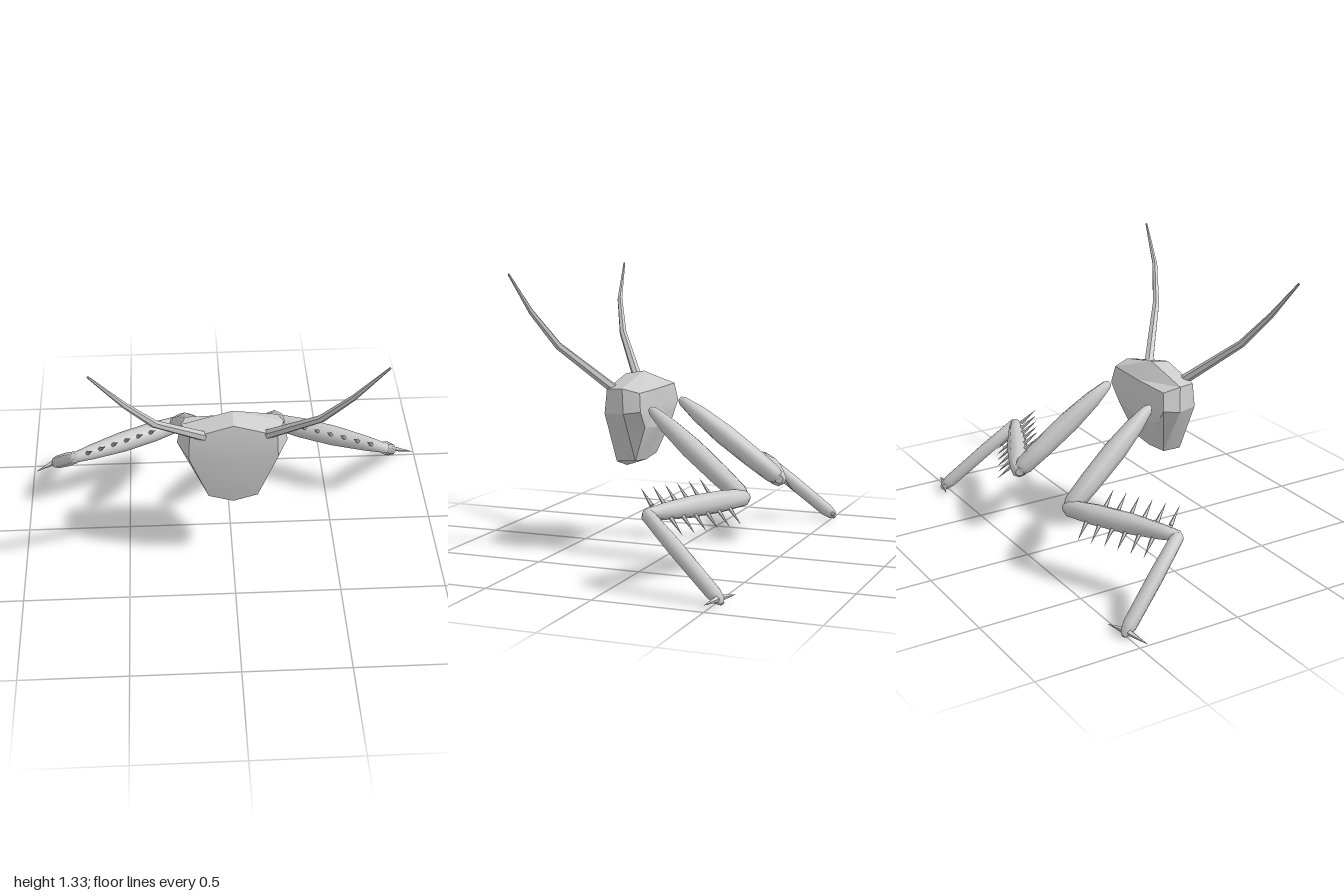
import * as THREE from 'three';
import { toCreasedNormals } from 'three/addons/utils/BufferGeometryUtils.js';

const V = (x, y, z) => new THREE.Vector3(x, y, z);
const material = new THREE.MeshStandardMaterial({ color: 0xcccccc });

// Joins a row of equally sized rings into a closed skin; both ends shrink to a point.
function skin(rings, crease) {
  const pos = [];
  const tri = (a, b, c) => {
    if (a.equals(b) || b.equals(c) || c.equals(a)) return;
    pos.push(...a.toArray(), ...b.toArray(), ...c.toArray());
  };
  for (let i = 0; i < rings.length - 1; i++) {
    const r = rings[i], s = rings[i + 1], n = r.length;
    for (let j = 0; j < n; j++) {
      const k = (j + 1) % n;
      tri(r[j], r[k], s[k]);
      tri(r[j], s[k], s[j]);
    }
  }
  const geo = new THREE.BufferGeometry();
  geo.setAttribute('position', new THREE.Float32BufferAttribute(pos, 3));
  geo.computeVertexNormals();
  return toCreasedNormals(geo, crease);
}

// Tapered sweep along points, with one radius per point.
function sweep(points, radii, sides, crease = 0.6) {
  const d = points.at(-1).clone().sub(points[0]).normalize();
  const u = V(0, 1, 0).addScaledVector(d, -d.y).normalize();
  const v = d.clone().cross(u);
  const ring = (p, r) => Array.from({ length: sides }, (_, j) => {
    const a = (j / sides) * Math.PI * 2;
    return p.clone().addScaledVector(u, r * Math.cos(a)).addScaledVector(v, r * Math.sin(a));
  });
  const rings = points.map((p, i) => ring(p, radii[i]));
  return skin([ring(points[0], 0), ...rings, ring(points.at(-1), 0)], crease);
}

// Straight limb with a profile of [fraction along, radius].
function limb(a, b, profile) {
  return sweep(profile.map(([t]) => a.clone().lerp(b, t)), profile.map(p => p[1]), 8, 0.85);
}

function add(parent, name, geo) {
  const mesh = new THREE.Mesh(geo, material);
  mesh.name = name;
  parent.add(mesh);
}

function spine(parent, name, from, to, r) {
  add(parent, name, sweep([from, to], [r, 0], 5));
}

// Half outlines of the head, top to bottom, from back to front.
function headGeometry() {
  const halves = [
    [[0, 0.785, 0.108], [0.215, 0.785, 0.115], [0.235, 0.7, 0.103], [0.17, 0.62, 0.108], [0, 0.6, 0.108]],
    [[0, 0.865, 0.185], [0.235, 0.805, 0.195], [0.257, 0.69, 0.18], [0.13, 0.45, 0.175], [0, 0.437, 0.175]],
    [[0, 0.848, 0.278], [0.2, 0.795, 0.288], [0.205, 0.68, 0.298], [0.115, 0.44, 0.277], [0, 0.403, 0.275]],
  ];
  const rings = halves.map(h => [
    ...h.map(([x, y, z]) => V(-x, y, z)),
    ...h.slice(1, -1).reverse().map(p => V(...p)),
  ].map(p => (p.x === 0 ? V(0, p.y, p.z) : p)));
  const point = p => Array(8).fill(p);
  return skin([point(V(0, 0.7, 0.105)), ...rings, point(V(0, 0.68, 0.313))], 0.35);
}

function buildLeg(name, s, hip, knee, ankle, foot, claws) {
  const leg = new THREE.Group();
  leg.name = name;
  add(leg, 'upperLeg', limb(hip, knee,
    [[0, 0.012], [0.03, 0.024], [0.2, 0.042], [0.45, 0.053], [0.75, 0.051], [0.95, 0.045], [1.01, 0.03], [1.03, 0.012]]));
  add(leg, 'middleLeg', limb(knee, ankle,
    [[-0.05, 0.02], [0, 0.04], [0.25, 0.05], [0.55, 0.05], [0.85, 0.037], [1, 0.026], [1.03, 0.012]]));
  add(leg, 'lowerLeg', limb(ankle, foot,
    [[-0.03, 0.014], [0, 0.03], [0.4, 0.035], [0.9, 0.033], [0.98, 0.024], [1.02, 0.01]]));

  // Two opposing rows of spines along the middle leg
  const out = V(-0.045 * s, 0.093, 0.093);
  for (let i = 0; i < 6; i++) {
    for (const side of [1, -1]) {
      const base = knee.clone().lerp(ankle, (side > 0 ? 0.3 : 0.2) + i * 0.121);
      const at = f => base.clone().addScaledVector(out, f * side);
      spine(leg, 'legSpine', at(0.28), at(1), 0.011);
    }
  }
  // Pair of claws at the foot
  const root = foot.clone().add(V(0, 0.015, 0.01));
  claws.forEach(tip => spine(leg, 'claw', root, tip, 0.016));
  return leg;
}

export function createModel() {
  const model = new THREE.Group();
  model.name = 'insectHeadAndLegs';
  add(model, 'head', headGeometry());

  // Curved, tapering antennae
  for (const s of [1, -1]) {
    const path = [[0.14, 0.785, 0.265], [0.365, 1.008, 0.45], [0.49, 1.17, 0.522], [0.63, 1.345, 0.558]];
    add(model, s > 0 ? 'leftAntenna' : 'rightAntenna',
      sweep(path.map(([x, y, z]) => V(s * x + 0.01, y, z)), [0.024, 0.018, 0.013, 0.005], 6));
  }

  // Hind legs, the two feet turned slightly differently
  model.add(buildLeg('leftLeg', 1, V(0.197, 0.715, 0.07), V(0.25, 0.342, -0.405),
    V(0.77, 0.35, -0.155), V(0.88, 0.035, -0.53), [V(0.785, 0.045, -0.56), V(0.99, 0.045, -0.495)]));
  model.add(buildLeg('rightLeg', -1, V(-0.172, 0.715, 0.07), V(-0.25, 0.342, -0.41),
    V(-0.757, 0.35, -0.155), V(-0.892, 0.035, -0.51), [V(-0.8, 0.05, -0.54), V(-0.995, 0.02, -0.455)]));
  return model;
}
